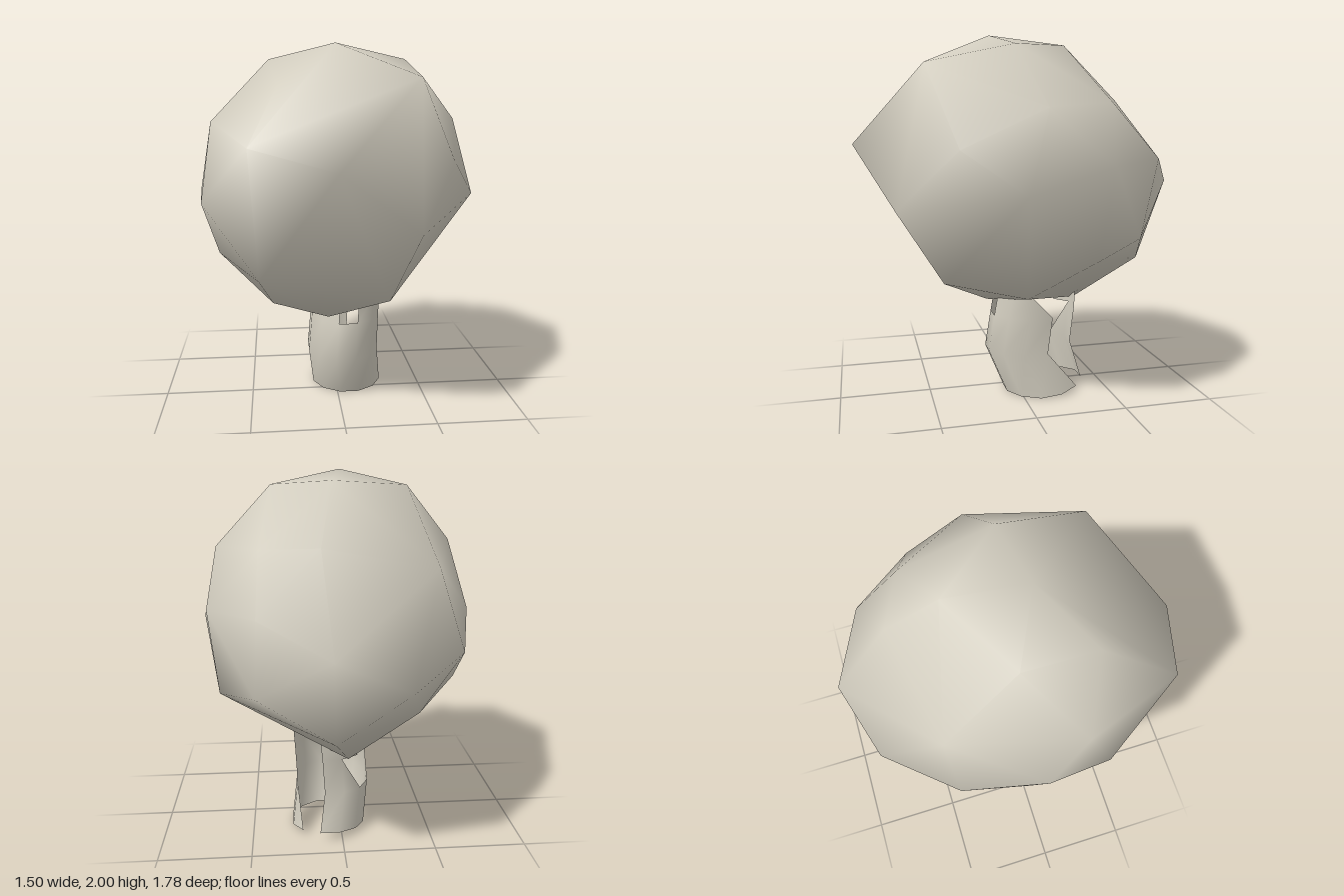
import * as THREE from 'three';
import { mergeVertices } from 'three/addons/utils/BufferGeometryUtils.js';
import { ConvexGeometry } from 'three/addons/geometries/ConvexGeometry.js';

const stone = new THREE.MeshStandardMaterial({ color: 0xd3cec0, side: THREE.DoubleSide });
stone.name = 'stone';

// Rounded, faceted head: hull of a few corners, shaded smooth
function makeHead() {
  const corners = [
    // front and back tips
    [-0.07, 1.41, 0.89], [0.08, 1.19, -0.89],
    // crown
    [-0.02, 2.0, 0.14], [0.36, 1.92, 0.08], [-0.37, 1.92, -0.03], [0.05, 1.95, -0.27], [0.36, 1.82, 0.54],
    // underside
    [-0.06, 0.5, 0.15], [-0.03, 0.49, -0.37], [0.36, 0.6, 0.01], [-0.37, 0.54, 0], [0.24, 0.68, 0.44],
    // girdle, left then right
    [0.75, 1.19, 0.11], [0.69, 1.32, -0.34], [0.66, 1.6, -0.01], [0.65, 0.85, -0.27], [0.57, 1.4, 0.4],
    [-0.75, 1.23, 0.03], [-0.72, 1.2, 0.37], [-0.67, 1.6, 0.23], [-0.67, 0.84, -0.04], [-0.63, 1.09, -0.41],
    // front shoulders
    [0.35, 1.085, 0.69], [-0.47, 1.51, 0.76], [-0.33, 1.78, 0.38], [-0.44, 0.79, 0.4],
    // back shoulders
    [0.43, 1.34, -0.68], [-0.3, 1.0, -0.78], [0.12, 1.65, -0.55], [0.42, 1.63, -0.42],
    [-0.48, 1.53, -0.43], [0.06, 0.73, -0.73], [0.45, 0.92, -0.58], [-0.4, 0.77, -0.43],
  ].map((p) => new THREE.Vector3(...p));
  let geo = new ConvexGeometry(corners);
  geo.deleteAttribute('normal');
  geo = mergeVertices(geo, 1e-4);
  geo.computeVertexNormals();
  return geo;
}

// Bent open tube with broken-out panels
function makeStem() {
  const sides = 12;
  // y, centre x, centre z, radius x, radius z, rise towards the back
  const rings = [
    [0, 0.07, -0.15, 0.21, 0.23, 0.045],
    [0.24, 0.04, -0.07, 0.21, 0.25, 0.02],
    [0.45, 0.055, -0.095, 0.205, 0.245, 0.02],
    [0.575, 0.065, -0.105, 0.205, 0.235, 0],
  ];
  // missing panels per row, counted round from the front towards the left
  const missing = [[4, 5], [4, 5, 7, 8], [0, 3, 4, 5, 8]];
  const pos = [], index = [];
  for (const [y, cx, cz, rx, rz, rise] of rings) {
    for (let k = 0; k < sides; k++) {
      const a = ((k - 0.5) / sides) * Math.PI * 2;
      pos.push(cx + rx * Math.sin(a), y + rise * Math.max(0, -Math.cos(a)), cz + rz * Math.cos(a));
    }
  }
  const at = (ring, k) => ring * sides + (k % sides);
  missing.forEach((gaps, row) => {
    for (let k = 0; k < sides; k++) {
      if (gaps.includes(k)) continue;
      index.push(at(row, k), at(row, k + 1), at(row + 1, k + 1));
      index.push(at(row, k), at(row + 1, k + 1), at(row + 1, k));
    }
  });
  // jagged remnants beside the gaps
  index.push(at(0, 4), at(0, 5), at(1, 4));
  index.push(at(2, 3), at(2, 4), at(3, 3));
  index.push(at(1, 7), at(1, 8), at(2, 7));
  const geo = new THREE.BufferGeometry();
  geo.setAttribute('position', new THREE.Float32BufferAttribute(pos, 3));
  geo.setIndex(index);
  geo.computeVertexNormals();
  return geo;
}

export function createModel() {
  const model = new THREE.Group();
  model.name = 'model';
  const head = new THREE.Mesh(makeHead(), stone);
  head.name = 'head';
  const stem = new THREE.Mesh(makeStem(), stone);
  stem.name = 'stem';
  model.add(head, stem);
  return model;
}
